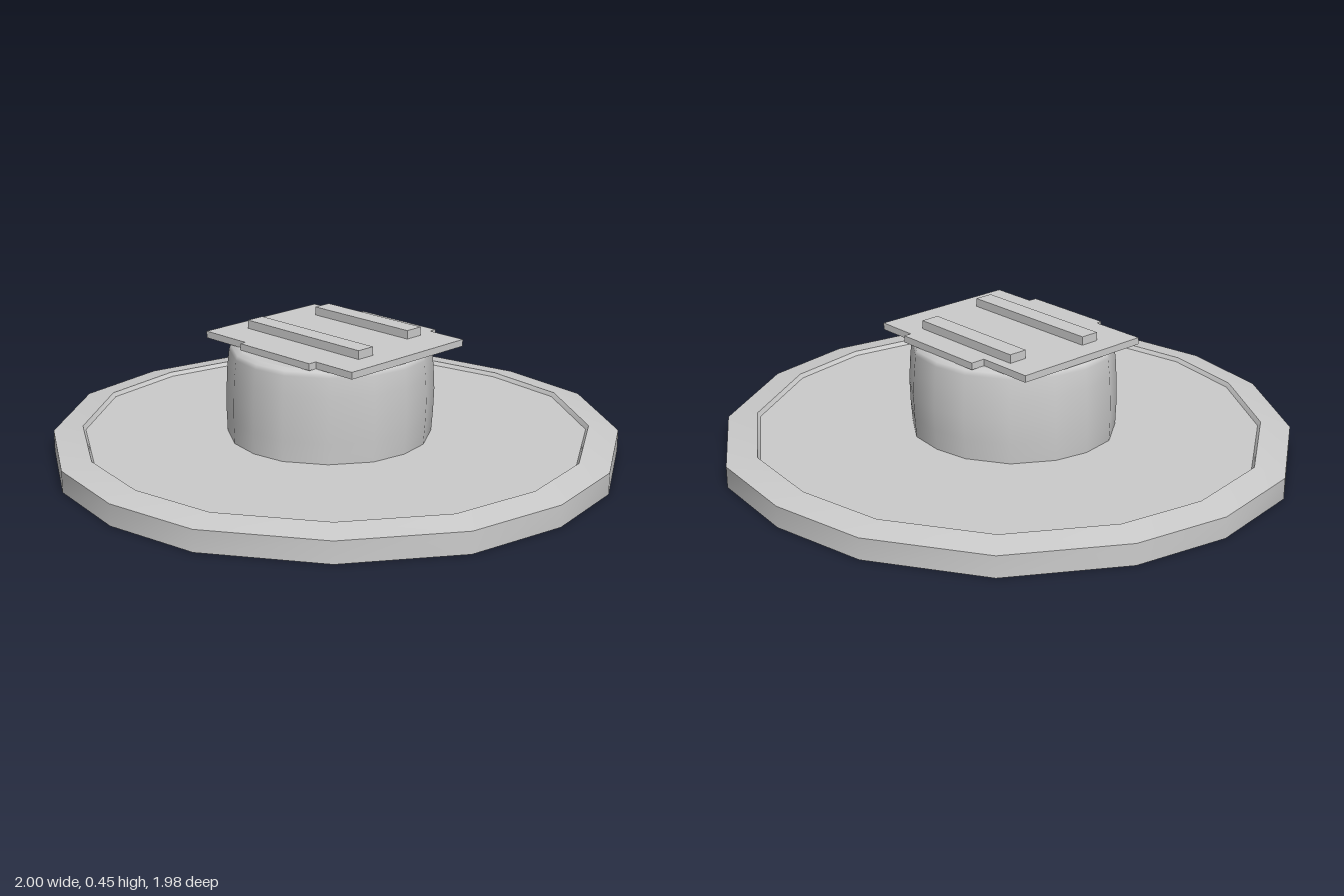
import * as THREE from 'three';

const material = new THREE.MeshStandardMaterial({ color: 0xcccccc, side: THREE.DoubleSide });

// Sixteen-sided outline of unit radius, as [x, z]
const outline = [
  [0, 0.985], [0.34, 0.935], [0.7, 0.7], [0.94, 0.355],
  [1, 0], [0.94, -0.335], [0.71, -0.705], [0.355, -0.945],
  [0, -0.99], [-0.345, -0.93], [-0.71, -0.7], [-0.935, -0.335],
  [-1, 0], [-0.945, 0.355], [-0.69, 0.7], [-0.34, 0.92],
];

// Skins scaled copies of the outline: rings are [scale, y, x offset, z offset]
function loft(rings) {
  const n = outline.length, positions = [], index = [];
  for (const [s, y, ox = 0, oz = 0] of rings)
    for (const [x, z] of outline) positions.push(x * s + ox, y, z * s + oz);
  for (let r = 0; r < rings.length - 1; r++)
    for (let i = 0; i < n; i++) {
      const a = r * n + i, b = r * n + (i + 1) % n;
      index.push(a, b, b + n, a, b + n, a + n);
    }
  const geometry = new THREE.BufferGeometry();
  geometry.setAttribute('position', new THREE.Float32BufferAttribute(positions, 3));
  geometry.setIndex(index);
  geometry.computeVertexNormals();
  return geometry;
}

function add(parent, name, geometry) {
  const mesh = new THREE.Mesh(geometry, material);
  mesh.name = name;
  parent.add(mesh);
  return mesh;
}

export function createModel() {
  const model = new THREE.Group();
  model.name = 'roundBaseUnit';

  // Hollow dish: each band is separate so the edges between them stay sharp
  const dish = new THREE.Group();
  dish.name = 'dish';
  model.add(dish);
  add(dish, 'outerWall', loft([[1, 0], [1, 0.075]]));
  add(dish, 'slopedRim', loft([[1, 0.075], [0.895, 0.092]]));
  add(dish, 'innerLip', loft([[0.895, 0.092], [0.885, 0.078]]));
  add(dish, 'floor', loft([[0.885, 0.078], [0, 0.078]]));

  // Slightly bulging drum with a rounded shoulder
  const drum = new THREE.Group();
  drum.name = 'drum';
  model.add(drum);
  add(drum, 'drumWall', loft([
    [0.36, 0.078, -0.01, 0.015], [0.364, 0.15, -0.01, 0.013], [0.365, 0.23, -0.008, 0.012],
    [0.361, 0.31, -0.007, 0.013], [0.354, 0.375, -0.005, 0.014],
    [0.348, 0.39, -0.005, 0.014], [0.33, 0.398, -0.005, 0.014],
  ]));
  add(drum, 'drumTop', loft([[0.33, 0.398, -0.005, 0.014], [0, 0.398, -0.005, 0.014]]));

  // Notched mounting plate
  const plate = new THREE.Shape([
    [-0.35, -0.275], [-0.15, -0.275], [-0.15, -0.297], [0.185, -0.297], [0.185, -0.267],
    [0.35, -0.267], [0.35, 0.275], [0.2, 0.275], [0.2, 0.303], [-0.15, 0.303],
    [-0.15, 0.25], [-0.35, 0.25],
  ].map(([x, y]) => new THREE.Vector2(x, y)));
  const plateMesh = add(model, 'mountingPlate',
    new THREE.ExtrudeGeometry(plate, { depth: 0.024, bevelEnabled: false }));
  plateMesh.rotation.x = -Math.PI / 2;
  plateMesh.position.y = 0.397;

  // Two raised rails
  for (const [name, x, z, width] of [['backRail', -0.012, -0.178, 0.45], ['frontRail', -0.005, 0.115, 0.54]])
    add(model, name, new THREE.BoxGeometry(width, 0.03, 0.068)).position.set(x, 0.436, z);

  return model;
}
